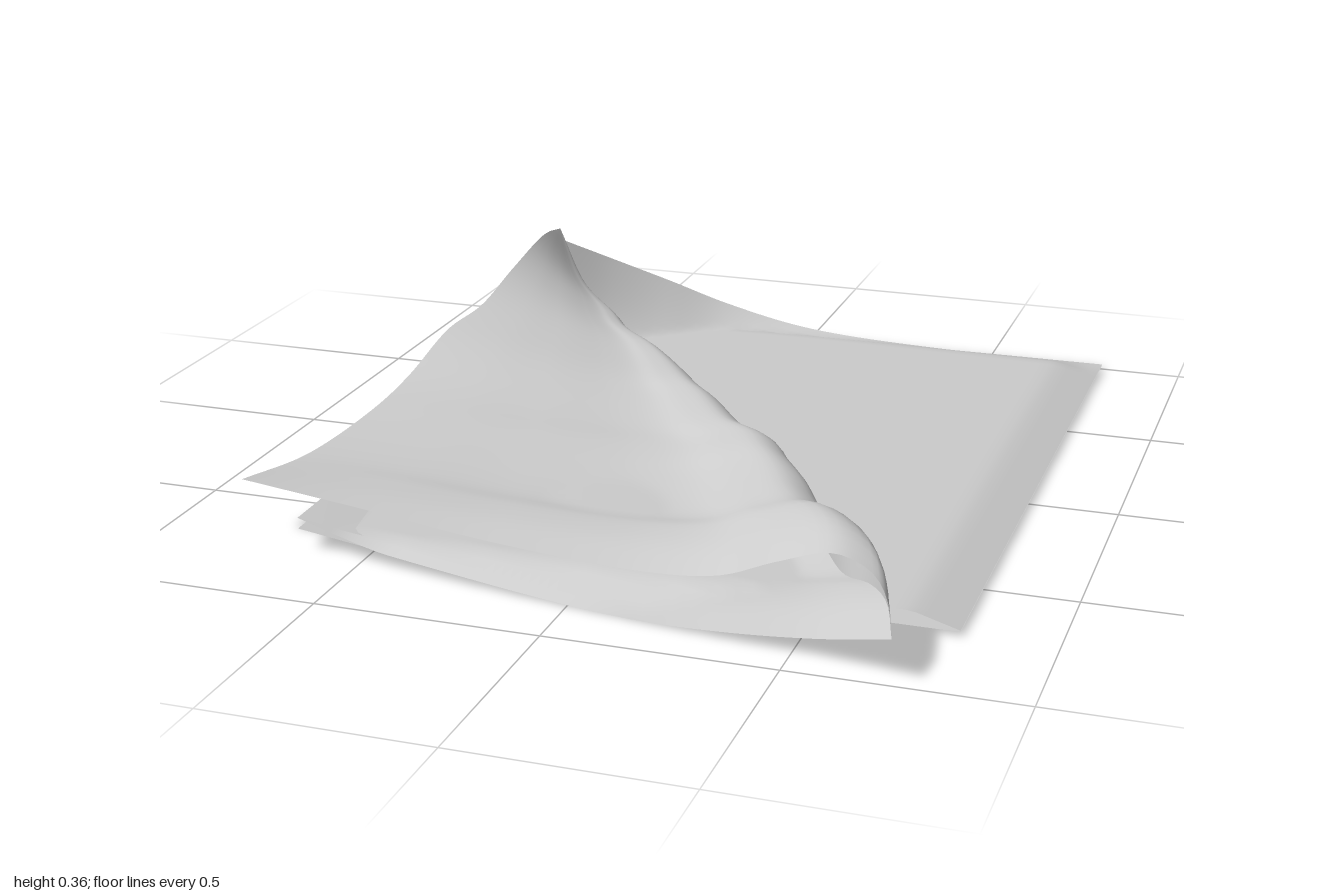
import * as THREE from 'three';

const curve = (...pts) => new THREE.CatmullRomCurve3(pts.map(p => new THREE.Vector3(...p)));
const clamp = THREE.MathUtils.clamp;

// Cloth patch spanned between four edge curves; u runs right to left, v front to back.
function patch(name, front, back, right, left, adjust, nu = 64, nv = 64) {
  const sample = (c, n) => Array.from({ length: n + 1 }, (_, i) => c.getPointAt(i / n));
  const F = sample(front, nu), B = sample(back, nu), R = sample(right, nv), L = sample(left, nv);
  const pos = [], idx = [];
  for (let j = 0; j <= nv; j++) {
    for (let i = 0; i <= nu; i++) {
      const u = i / nu, v = j / nv;
      const p = F[i].clone().lerp(B[i], v)
        .add(R[j].clone().lerp(L[j], u))
        .sub(F[0].clone().lerp(F[nu], u).lerp(B[0].clone().lerp(B[nu], u), v));
      adjust(p, u, v);
      pos.push(p.x, p.y, p.z);
      if (i < nu && j < nv) {
        const a = j * (nu + 1) + i, b = a + nu + 1;
        idx.push(a, b, a + 1, a + 1, b, b + 1);
      }
    }
  }
  const geo = new THREE.BufferGeometry();
  geo.setAttribute('position', new THREE.Float32BufferAttribute(pos, 3));
  geo.setIndex(idx);
  geo.computeVertexNormals();
  const mesh = new THREE.Mesh(geo,
    new THREE.MeshStandardMaterial({ color: 0xcccccc, side: THREE.DoubleSide }));
  mesh.name = name;
  return mesh;
}

export function createModel() {
  const group = new THREE.Group();
  group.name = 'foldedCloth';
  const peak = [-0.6, 0.35, -0.68], curl = [-0.62, 0.31, -0.72];
  const tip = [0.72, 0.1, 1], lowCorner = [-0.66, 0.075, 0.75];

  // Edges of the flat base
  const baseFront = curve([0.8, 0.015, 0.74], [0.68, 0.02, 0.74], [0, 0.025, 0.74], [-0.45, 0.045, 0.745], lowCorner);
  const baseBack = curve([0.8, 0.015, -1], [0.4, 0.015, -0.995], [0, 0.04, -0.985],
    [-0.22, 0.095, -0.96], [-0.37, 0.165, -0.9], [-0.5, 0.235, -0.82], curl);
  const baseRight = curve([0.8, 0.015, 0.74], [0.8, 0.015, -0.1], [0.8, 0.015, -1]);
  const leftFold = curve(lowCorner, [-0.67, 0.07, 0.16], [-0.64, 0.075, -0.36], [-0.605, 0.1, -0.6], curl);

  // Diagonal fold shared by the two flap layers
  const diagonal = curve(tip, [0.68, 0.12, 0.88], [0.62, 0.11, 0.78], [0.55, 0.085, 0.7],
    [0.49, 0.08, 0.6], [0.42, 0.085, 0.46], [0.35, 0.09, 0.35], [0.3, 0.09, 0.26],
    [0.2, 0.08, 0.16], [0.06, 0.075, -0.05], [0, 0.075, -0.12], [-0.1, 0.075, -0.26],
    [-0.2, 0.085, -0.37], [-0.31, 0.1, -0.45], [-0.37, 0.12, -0.52], [-0.5, 0.19, -0.61], peak);

  // Edges of the flap
  const innerFront = curve(tip, [0.55, 0.05, 0.94], [0.35, 0.02, 0.905], [0.15, 0.003, 0.87],
    [-0.15, 0.012, 0.83], [-0.45, 0.035, 0.785], lowCorner);
  const outerFront = curve(tip, [0.7, 0.15, 0.95], [0.65, 0.185, 0.89], [0.57, 0.205, 0.87],
    [0.45, 0.165, 0.855], [0.32, 0.105, 0.825], [0.15, 0.08, 0.8], [-0.2, 0.09, 0.775],
    [-0.5, 0.115, 0.75], [-0.8, 0.14, 0.73]);
  const outerLeft = curve([-0.8, 0.14, 0.73], [-0.76, 0.12, 0.5], [-0.73, 0.135, 0.2],
    [-0.72, 0.16, 0.03], [-0.7, 0.22, -0.17], [-0.66, 0.25, -0.28], [-0.63, 0.31, -0.42],
    [-0.605, 0.36, -0.58], peak);
  const backPoint = curve(peak, peak.map(c => c + 1e-5));
  const backHem = curve(peak, curl);

  // Two base layers, joined along the right edge
  group.add(patch('baseBottom', baseFront, baseBack, baseRight, leftFold, p => {
    p.y = Math.max(0.012, p.y - 0.025);
  }));
  group.add(patch('baseTop', baseFront, baseBack, baseRight, leftFold, (p, u, v) => {
    p.y = Math.max(p.y, 0.015 + 0.03 * clamp(u / 0.07, 0, 1) * clamp((1 - v) / 0.06, 0, 1));
  }));

  // Inner flap layer drapes over the base and hangs past its front edge
  group.add(patch('innerFlap', innerFront, backHem, diagonal, leftFold, p => {
    p.y = Math.max(p.y, 0.055 * clamp((0.86 - p.z) / 0.12, 0, 1));
  }));

  // Outer flap layer, puffed along the diagonal fold
  group.add(patch('outerFlap', outerFront, backPoint, diagonal, outerLeft, (p, u, v) => {
    const inside = clamp(v / 0.12, 0, 1) * clamp((1 - v) / 0.2, 0, 1);
    p.y = Math.max(p.y, 0.072) + 0.07 * Math.sqrt(u) * (1 - u) * inside;
  }));
  return group;
}
